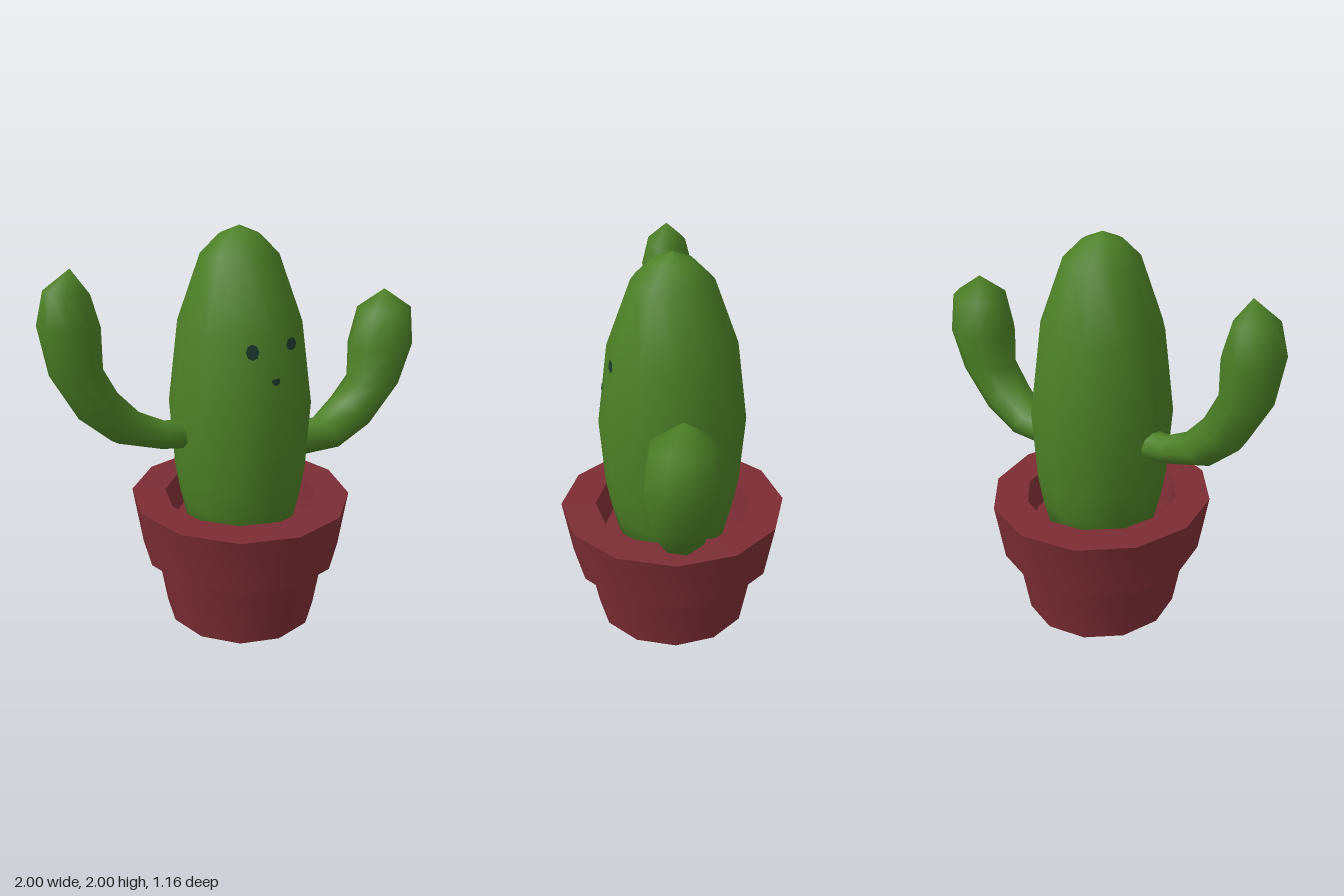
import * as THREE from 'three';
import { mergeVertices, toCreasedNormals } from 'three/addons/utils/BufferGeometryUtils.js';

const CX = -0.02;      // axis of pot and trunk
const SX = 0.945;      // they are slightly narrower in x
const SIDES = 12;

const material = (name, color) => {
  const m = new THREE.MeshStandardMaterial({ color });
  m.name = name;
  return m;
};

const trunkProfile = [
  [0, 0.45], [0.27, 0.45], [0.318, 0.65], [0.342, 0.79], [0.366, 1.14],
  [0.312, 1.55], [0.193, 1.87], [0.1, 1.96], [0, 2.0],
];
const potProfile = [
  [0, 0], [0.405, 0], [0.467, 0.355], [0.53, 0.355], [0.578, 0.652],
  [0.4, 0.652], [0.36, 0.5], [0, 0.5],
];

function lathe(profile) {
  const g = new THREE.LatheGeometry(profile.map(([r, y]) => new THREE.Vector2(r, y)), SIDES);
  g.scale(SX, 1, 1);
  g.translate(CX, 0, 0);
  return g;
}

// Arm from cross-sections, each given by its inner and outer edge point in the xy plane
function armGeometry(sections, side) {
  const n = 9, pos = [], index = [];
  for (const [ix, iy, ox, oy] of sections) {
    const dx = (ox - ix) / 2, dy = (oy - iy) / 2, r = Math.hypot(dx, dy);
    for (let i = 0; i < n; i++) {
      const a = (i / n) * Math.PI * 2;
      pos.push(ix + dx + dx * Math.sin(a), iy + dy + dy * Math.sin(a), -0.005 - r * Math.cos(a));
    }
  }
  for (let k = 0; k < sections.length - 1; k++) {
    for (let i = 0; i < n; i++) {
      const a = k * n + i, b = k * n + (i + 1) % n, c = a + n, d = b + n;
      if (side > 0) index.push(a, c, b, b, c, d);
      else index.push(a, b, c, b, d, c);
    }
  }
  const g = new THREE.BufferGeometry();
  g.setAttribute('position', new THREE.Float32BufferAttribute(pos, 3));
  g.setIndex(index);
  const merged = mergeVertices(g);
  merged.computeVertexNormals();
  return merged;
}

// Depth of the trunk's front facets at a point
function trunkFront(x, y) {
  const k = trunkProfile.findIndex((p) => p[1] > y);
  const [r0, y0] = trunkProfile[k - 1], [r1, y1] = trunkProfile[k];
  const r = r0 + (r1 - r0) * (y - y0) / (y1 - y0);
  return r - Math.abs(x - CX) * (1 - Math.cos(Math.PI / 6)) / (Math.sin(Math.PI / 6) * SX);
}

// Thin patch laid on the front of the trunk
function patch(cx, cy, rx, ry, topCut = 1) {
  const g = new THREE.CircleGeometry(1, 8);
  const p = g.attributes.position;
  for (let i = 0; i < p.count; i++) {
    const x = cx + p.getX(i) * rx, y = cy + Math.min(p.getY(i), topCut) * ry;
    p.setXYZ(i, x, y, trunkFront(x, y) + 0.004);
  }
  g.computeVertexNormals();
  return g;
}

export function createModel() {
  const group = new THREE.Group();
  const green = material('cactus green', 0x4c7f26);
  const red = material('pot red', 0x7c2d35);
  const dark = material('face dark green', 0x1e3b2d);
  const add = (name, geometry, mat) => {
    const mesh = new THREE.Mesh(geometry, mat);
    mesh.name = name;
    group.add(mesh);
  };

  // Pot with its thick rim and recessed floor
  add('pot', toCreasedNormals(lathe(potProfile), 0.7), red);

  // Trunk
  add('trunk', lathe(trunkProfile), green);

  // Arms, from root to tip
  add('leftArm', armGeometry([
    [0.2, 0.96, 0.2, 0.785], [0.45, 0.965, 0.56, 0.787], [0.56, 1.055, 0.75, 0.89],
    [0.65, 1.14, 0.93, 1.1], [0.655, 1.315, 1.0, 1.32], [0.7, 1.5, 0.983, 1.515],
    [0.84, 1.61, 0.84, 1.61],
  ], 1), green);
  add('rightArm', armGeometry([
    [-0.25, 1.1, -0.25, 0.94], [-0.42, 1.105, -0.46, 0.973], [-0.545, 1.17, -0.69, 1.05],
    [-0.645, 1.28, -0.84, 1.185], [-0.722, 1.43, -0.962, 1.41], [-0.722, 1.62, -1.0, 1.64],
    [-0.76, 1.765, -0.962, 1.79], [-0.84, 1.875, -0.84, 1.875],
  ], -1), green);

  // Face
  add('rightEye', patch(-0.117, 1.478, 0.03, 0.037), dark);
  add('leftEye', patch(0.09, 1.49, 0.032, 0.03), dark);
  add('mouth', patch(CX + 0.004, 1.338, 0.023, 0.02, 0.6), dark);

  return group;
}
